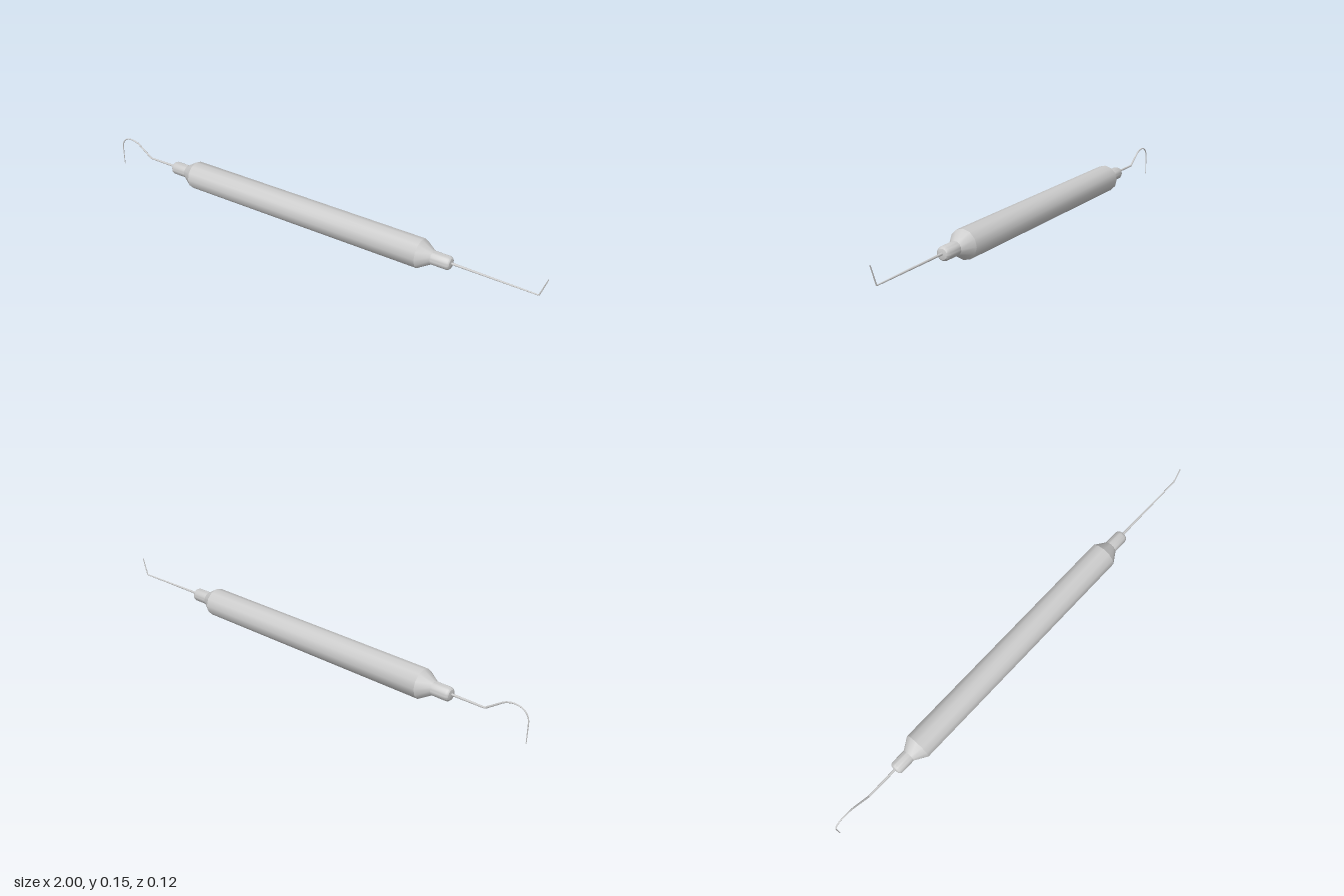
import * as THREE from 'three';
import { toCreasedNormals } from 'three/addons/utils/BufferGeometryUtils.js';

const AXIS_Y = 0.073;
const material = new THREE.MeshStandardMaterial({ color: 0xcccccc });
const v = (x, y) => new THREE.Vector3(x, y, 0);

// Solid turned about the long axis; profile points are [x, radius]
function turned(name, profile, sides) {
  const points = profile.map(([x, r]) => new THREE.Vector2(r, x));
  const geometry = new THREE.LatheGeometry(points, sides);
  geometry.rotateZ(-Math.PI / 2).translate(0, AXIS_Y, 0);
  const mesh = new THREE.Mesh(toCreasedNormals(geometry, 0.53), material);
  mesh.name = name;
  return mesh;
}

// Wire along joined curves, thinning towards its tip
function taperedWire(name, curves, rootRadius, tipRadius) {
  const path = new THREE.CurvePath();
  curves.forEach((curve) => path.add(curve));
  const rings = 120, sides = 10;
  const geometry = new THREE.TubeGeometry(path, rings, rootRadius, sides, false);
  const position = geometry.attributes.position;
  const p = new THREE.Vector3();
  for (let i = 0; i <= rings; i++) {
    const centre = path.getPointAt(i / rings);
    const scale = i === rings ? 0 : 1 + (tipRadius / rootRadius - 1) * (i / rings);
    for (let j = 0; j <= sides; j++) {
      const k = i * (sides + 1) + j;
      p.fromBufferAttribute(position, k).sub(centre).multiplyScalar(scale).add(centre);
      position.setXYZ(k, p.x, p.y, p.z);
    }
  }
  const mesh = new THREE.Mesh(geometry, material);
  mesh.name = name;
  return mesh;
}

export function createModel() {
  const model = new THREE.Group();
  model.name = 'dentalProbe';

  // Twelve-sided grip with tapered shoulders
  model.add(turned('handle', [
    [-0.62, 0], [-0.62, 0.027], [-0.57, 0.058],
    [0.51, 0.058], [0.56, 0.027], [0.56, 0],
  ], 12));

  // Rounded collars that hold the wires
  const collar = [
    [0, 0], [0, 0.027], [0.066, 0.027], [0.072, 0.025], [0.077, 0.02], [0.079, 0.012], [0.079, 0],
  ];
  model.add(turned('leftCollar', collar.map(([x, r]) => [0.557 + x, r]), 24));
  model.add(turned('rightCollar', collar.map(([x, r]) => [-0.615 - x, r]).reverse(), 24));

  // Straight wire with an angled tip
  model.add(taperedWire('angledTip', [
    new THREE.LineCurve3(v(0.62, 0.075), v(0.972, 0.071)),
    new THREE.LineCurve3(v(0.972, 0.071), v(0.998, 0.147)),
  ], 0.0052, 0.002));

  // Wire that bends up and curls into a hook
  model.add(taperedWire('hookedTip', [
    new THREE.LineCurve3(v(-0.68, 0.076), v(-0.83, 0.076)),
    new THREE.LineCurve3(v(-0.83, 0.076), v(-0.89, 0.118)),
    new THREE.CubicBezierCurve3(v(-0.89, 0.118), v(-0.925, 0.145), v(-0.998, 0.145), v(-0.998, 0.08)),
    new THREE.LineCurve3(v(-0.998, 0.08), v(-0.998, 0)),
  ], 0.0052, 0.0015));

  return model;
}
